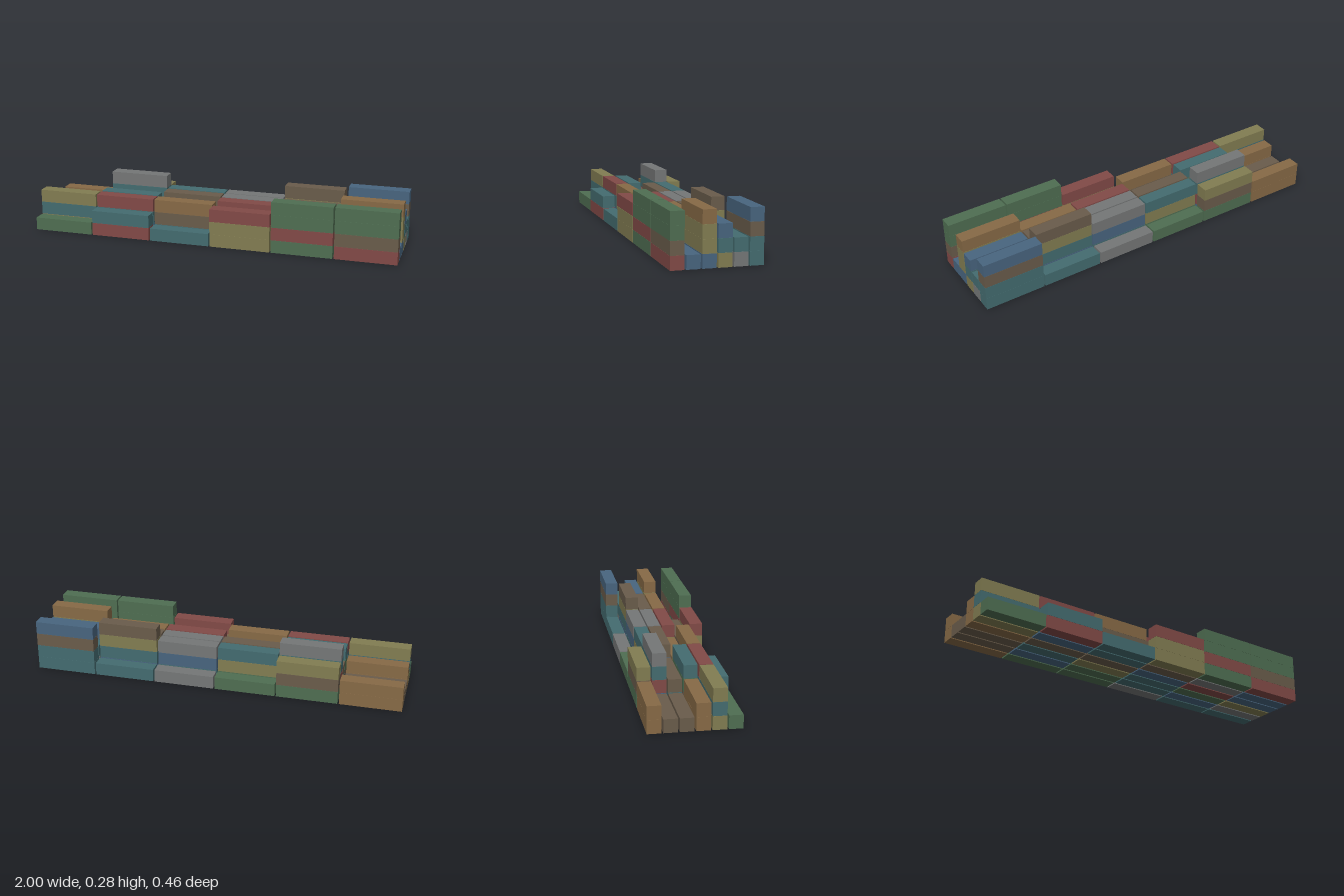
import * as THREE from 'three';

// Container colours by letter
const COLORS = {
  G: 0x4f6e52, R: 0x824a47, T: 0x446c70, B: 0x48657f,
  O: 0x876a46, Y: 0x827d52, N: 0x6a5c4b, S: 0x757777,
};

// Stacks listed from the bottom container up; rows run front to back, columns -x to +x
const STACKS = [
  ['G', 'RT', 'T', 'YYR', 'GRGG', 'RNGG'],
  ['YTY', 'BTR', 'TNO', 'NN', 'S', 'B'],
  ['OO', 'NGT', 'NO', 'BYR', 'RTO', 'BYYO'],
  ['N', 'TN', 'YBN', 'TGS', 'GRN', 'YTB'],
  ['N', 'BRTS', 'GYT', 'TBS', 'BTYN', 'ST'],
  ['OO', 'GNY', 'G', 'S', 'T', 'TTNB'],
];

const GAP = 0.008;
const LENGTH = (2 - 5 * GAP) / 6;
const WIDTH = 0.0695;
const HEIGHT = 0.0687;
const LAYER = 0.0693;

export function createModel() {
  const model = new THREE.Group();
  model.name = 'containerYard';

  const box = new THREE.BoxGeometry(LENGTH, HEIGHT, WIDTH);
  const materials = {};
  for (const key in COLORS) {
    materials[key] = new THREE.MeshStandardMaterial({ color: COLORS[key] });
  }

  STACKS.forEach((row, r) => row.forEach((codes, c) => {
    // One stack of containers
    const stack = new THREE.Group();
    stack.name = `stackRow${r + 1}Bay${c + 1}`;
    stack.position.set((c - 2.5) * (LENGTH + GAP), 0, (2.5 - r) * (WIDTH + GAP));
    [...codes].forEach((code, level) => {
      const container = new THREE.Mesh(box, materials[code]);
      container.name = `containerLevel${level + 1}`;
      container.position.y = HEIGHT / 2 + level * LAYER;
      stack.add(container);
    });
    model.add(stack);
  }));

  return model;
}
